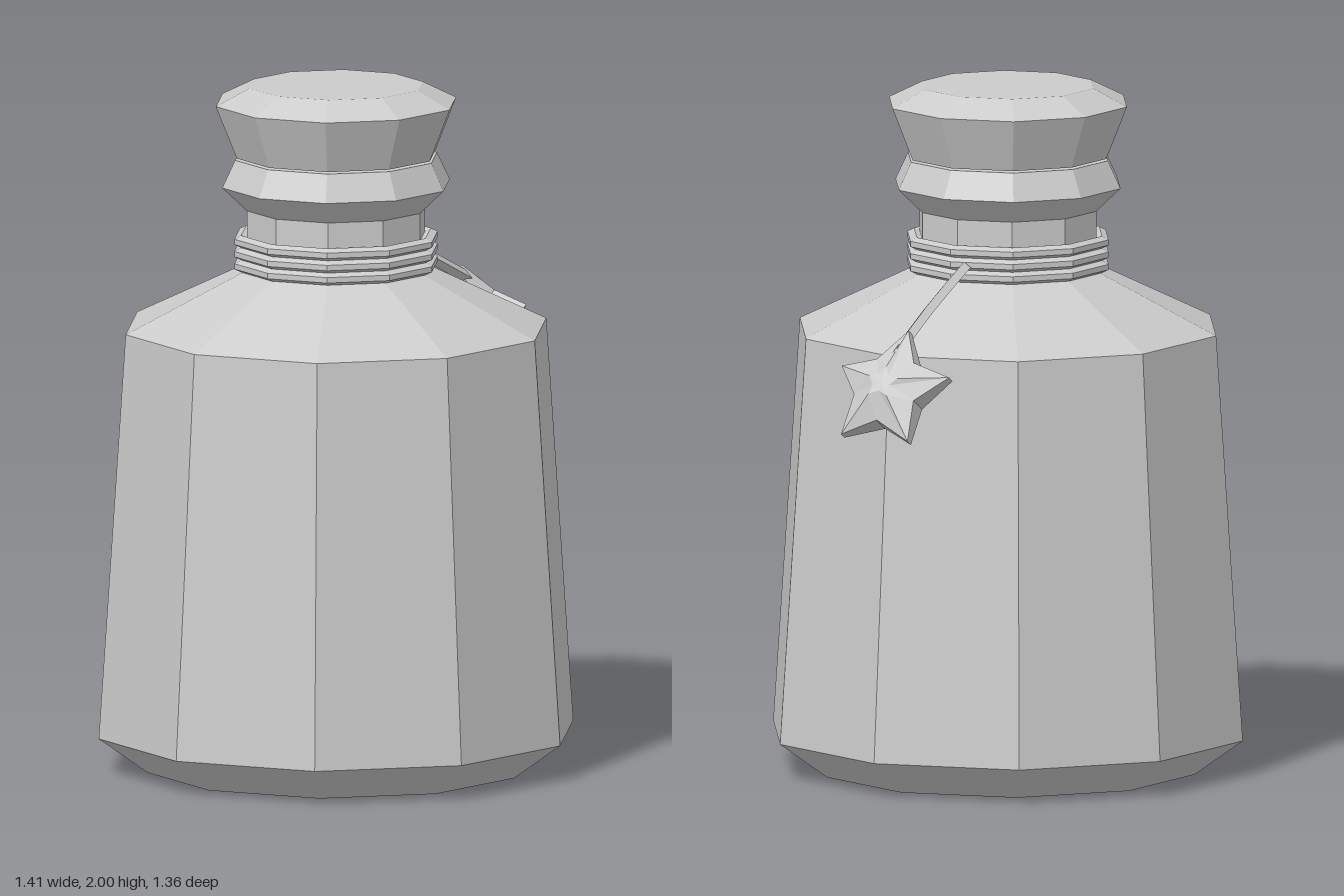
import * as THREE from 'three';

const SIDES = 10;
const TURN = 0.365; // shared rotation of every ten-sided ring

export function createModel() {
  const group = new THREE.Group();
  const material = new THREE.MeshStandardMaterial({ color: 0xcccccc, flatShading: true });

  const add = (name, geometry) => {
    const mesh = new THREE.Mesh(geometry, material);
    mesh.name = name;
    group.add(mesh);
    return mesh;
  };
  // Profile of [radius, height] pairs, listed from bottom to top
  const turned = (profile) => new THREE.LatheGeometry(
    profile.map(([r, y]) => new THREE.Vector2(r, y)), SIDES, TURN);

  // Bottle body with shoulder, neck and flared lip
  add('bottle', turned([
    [0, 0], [0.56, 0], [0.705, 0.105], [0.625, 1.29], [0.265, 1.465],
    [0.265, 1.64], [0.338, 1.71], [0.3, 1.79], [0, 1.79],
  ]));

  // Stopper
  add('stopper', turned([
    [0, 1.795], [0.295, 1.795], [0.357, 1.95], [0.257, 2], [0, 2],
  ]));

  // Cord wound three times around the neck
  for (let i = 0; i < 3; i++) {
    const y = 1.478 + i * 0.036;
    add('neckCord' + (i + 1), turned([
      [0.262, y - 0.01], [0.282, y - 0.018], [0.302, y - 0.008], [0.302, y + 0.008],
      [0.282, y + 0.018], [0.262, y + 0.01], [0.262, y - 0.01],
    ]));
  }

  // Loose cord running down over the shoulder to the charm
  const path = new THREE.CatmullRomCurve3([
    new THREE.Vector3(0.2, 1.51, -0.22),
    new THREE.Vector3(0.36, 1.41, -0.365),
    new THREE.Vector3(0.51, 1.31, -0.52),
  ]);
  add('hangingCord', new THREE.TubeGeometry(path, 4, 0.018, 4));

  // Star charm, leaning back against the edge of the shoulder
  const star = add('starCharm', starGeometry());
  const normal = new THREE.Vector3(0.62, 0.55, -0.56).normalize();
  const up = new THREE.Vector3(-0.066, 0.17, 0.056);
  up.addScaledVector(normal, -up.dot(normal)).normalize();
  const side = new THREE.Vector3().crossVectors(up, normal);
  star.quaternion.setFromRotationMatrix(new THREE.Matrix4().makeBasis(side, up, normal));
  star.position.set(0.526, 1.21, -0.536);

  return group;
}

// Five-pointed star built from rings: tip radius, notch radius, tip depth, notch depth
function starGeometry() {
  const rings = [
    [0, 0, 0.07, 0.07],
    [0.05, 0.028, 0.068, 0.068],
    [0.19, 0.105, 0.012, 0.03],
    [0.19, 0.105, -0.012, -0.03],
    [0.05, 0.028, -0.06, -0.06],
    [0, 0, -0.06, -0.06],
  ];
  const positions = [];
  const index = [];
  rings.forEach(([tip, notch, tipZ, notchZ], i) => {
    for (let j = 0; j < 10; j++) {
      const angle = Math.PI / 2 + j * Math.PI / 5;
      const r = j % 2 ? notch : tip;
      positions.push(r * Math.cos(angle), r * Math.sin(angle), j % 2 ? notchZ : tipZ);
      if (i === rings.length - 1) continue;
      const k = (j + 1) % 10;
      const a = i * 10 + j, b = a + 10, c = i * 10 + 10 + k, d = i * 10 + k;
      if (i < rings.length - 2) index.push(a, b, c);
      if (i > 0) index.push(a, c, d);
    }
  });
  const geometry = new THREE.BufferGeometry();
  geometry.setAttribute('position', new THREE.Float32BufferAttribute(positions, 3));
  geometry.setIndex(index);
  geometry.computeVertexNormals();
  return geometry;
}
